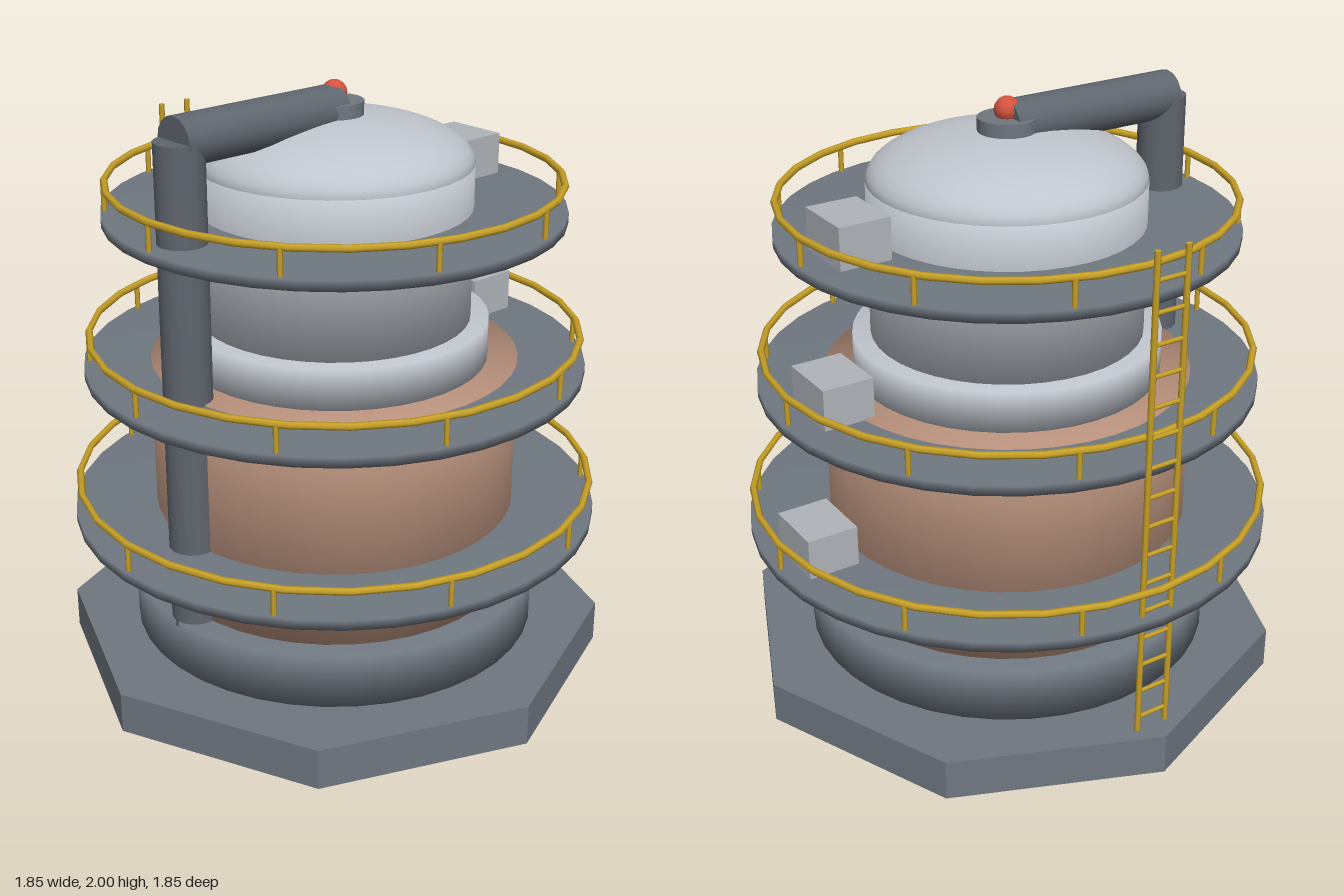
import * as THREE from 'three';

const paint = (name, color) => {
  const m = new THREE.MeshStandardMaterial({ color });
  m.name = name;
  return m;
};

export function createModel() {
  const steel = paint('steel grey', 0x6f7780);
  const pipeGrey = paint('pipe grey', 0x5f666e);
  const clay = paint('clay brown', 0xb8917c);
  const shell = paint('pale shell', 0xc0c5cd);
  const boxGrey = paint('cabinet grey', 0xb0b5ba);
  const yellow = paint('safety yellow', 0xc9a227);
  const red = paint('beacon red', 0xd4533f);

  const model = new THREE.Group();
  model.name = 'processTower';

  const add = (parent, name, geometry, material, x = 0, y = 0, z = 0) => {
    const mesh = new THREE.Mesh(geometry, material);
    mesh.name = name;
    mesh.position.set(x, y, z);
    parent.add(mesh);
    return mesh;
  };

  // Closed drum with normals blended softly over its rims
  const drum = (r, y0, y1, segments = 40) => new THREE.LatheGeometry(
    [[0, y0], [r, y0], [r, y1], [0, y1]].map(p => new THREE.Vector2(...p)), segments);

  // Octagonal foundation
  const base = new THREE.CylinderGeometry(0.925, 0.925, 0.14, 8).toNonIndexed();
  base.computeVertexNormals();
  add(model, 'foundation', base, steel, 0, 0.07, 0);

  // Stacked vessel
  add(model, 'footRing', drum(0.69, 0.13, 0.32), steel);
  add(model, 'lowerVessel', drum(0.61, 0.3, 1.09), clay);
  add(model, 'collar', drum(0.51, 1.08, 1.225), shell);
  add(model, 'upperVessel', drum(0.45, 1.2, 1.74), shell);
  const dome = new THREE.SphereGeometry(0.45, 40, 10, 0, Math.PI * 2, 0, Math.PI / 2);
  dome.scale(1, 0.155 / 0.45, 1);
  add(model, 'dome', dome, shell, 0, 1.74, 0);
  add(model, 'domeCap', new THREE.CylinderGeometry(0.095, 0.095, 0.065, 20), steel, 0, 1.903, 0);
  add(model, 'beacon', new THREE.SphereGeometry(0.042, 12, 8), red, 0, 1.958, 0);

  // Walkways with handrail, ten posts and a cabinet
  const decks = [
    { name: 'lowerWalkway', r: 0.885, rail: 0.868, y: 0.575, box: 0.73 },
    { name: 'middleWalkway', r: 0.83, rail: 0.81, y: 1.085, box: 0.65 },
    { name: 'upperWalkway', r: 0.75, rail: 0.735, y: 1.597, box: 0.57 },
  ];
  for (const { name, r, rail, y, box } of decks) {
    const deck = new THREE.Group();
    deck.name = name;
    deck.position.y = y;
    model.add(deck);
    add(deck, 'deckPlate', drum(r, -0.034, 0, 36), steel);
    const ring = new THREE.TorusGeometry(rail, 0.012, 6, 28);
    ring.rotateX(Math.PI / 2);
    add(deck, 'handrail', ring, yellow, 0, 0.09, 0);
    const post = new THREE.CylinderGeometry(0.009, 0.009, 0.09, 6);
    for (let i = 0; i < 10; i++) {
      const a = (i * Math.PI) / 5;
      add(deck, 'railPost', post, yellow, rail * Math.cos(a), 0.045, rail * Math.sin(a));
    }
    add(deck, 'cabinet', new THREE.BoxGeometry(0.175, 0.14, 0.215), boxGrey, box, 0.068, 0);
  }

  // Downcomer pipe from the dome cap to the foot ring
  add(model, 'verticalPipe', new THREE.CylinderGeometry(0.079, 0.079, 1.61, 16), pipeGrey, -0.612, 1.105, 0);
  const across = new THREE.CylinderGeometry(0.079, 0.079, 0.63, 16);
  across.rotateZ(Math.PI / 2);
  add(model, 'crossPipe', across, pipeGrey, -0.315, 1.908, 0);

  // Ladder up the back
  const ladder = new THREE.Group();
  ladder.name = 'ladder';
  ladder.position.z = -0.846;
  model.add(ladder);
  const stile = new THREE.CylinderGeometry(0.01, 0.01, 1.64, 6);
  for (const side of [-1, 1]) add(ladder, 'ladderStile', stile, yellow, side * 0.055, 0.96, 0);
  const rung = new THREE.CylinderGeometry(0.007, 0.007, 0.11, 6);
  rung.rotateZ(Math.PI / 2);
  for (let i = 0; i < 16; i++) add(ladder, 'ladderRung', rung, yellow, 0, 0.19 + i * 0.1, 0);

  return model;
}
